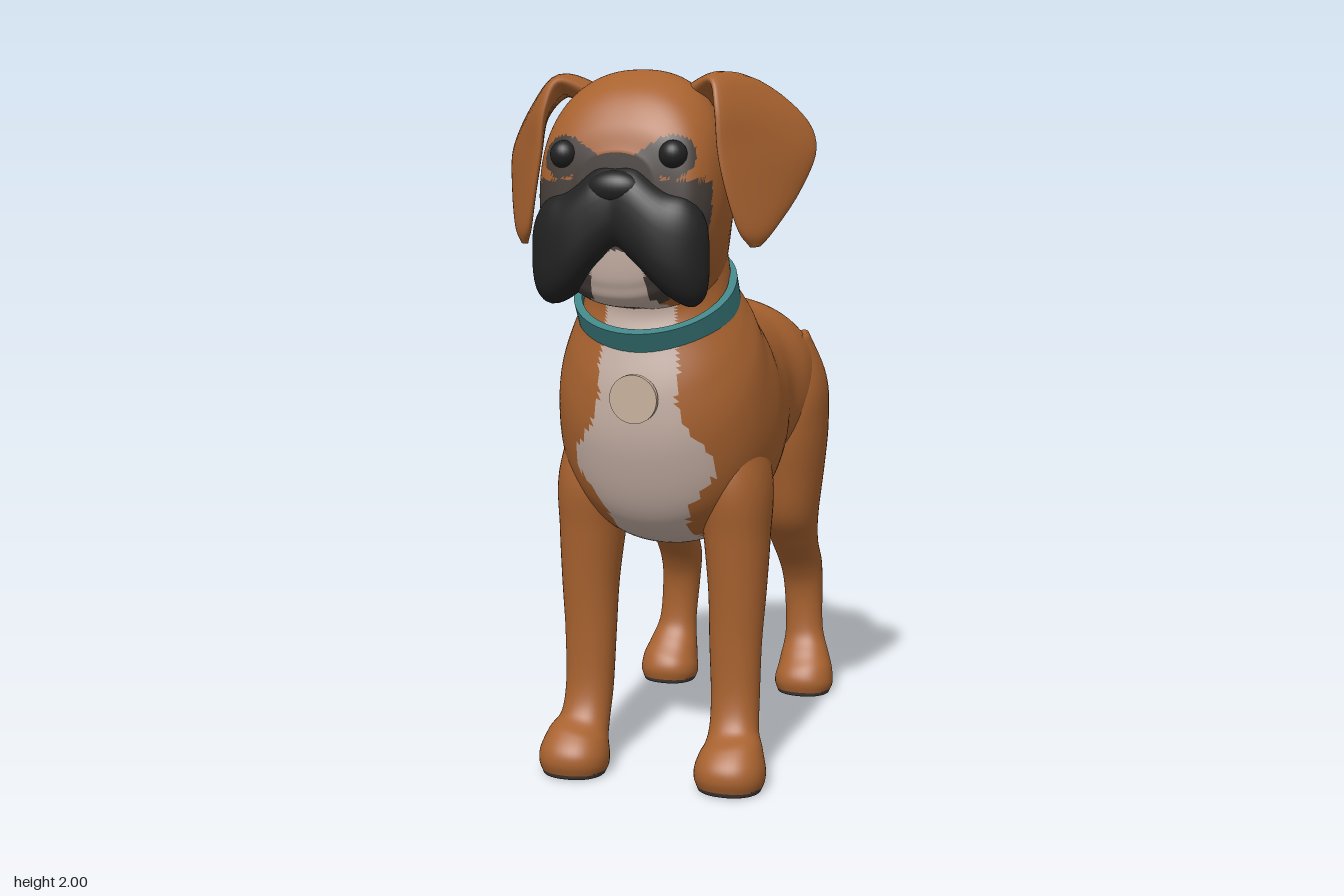
import * as THREE from 'three';
import { toCreasedNormals } from 'three/addons/utils/BufferGeometryUtils.js';

const mat = (name, color) => {
  const m = new THREE.MeshStandardMaterial({ color });
  m.name = name;
  return m;
};

// Smooth skin through cross-sections [ax,ay,az, bx,by,bz, w]:
// a and b are opposite points of the ring, w its half width across them.
function loft(sections, { steps = 6, sides = 36, power = 2, paint = null, buckets = 1 } = {}) {
  const curve = (f) => new THREE.CatmullRomCurve3(sections.map(f), false, 'catmullrom', 0.5);
  const A = curve((s) => new THREE.Vector3(s[0], s[1], s[2]));
  const B = curve((s) => new THREE.Vector3(s[3], s[4], s[5]));
  const W = curve((s) => new THREE.Vector3(s[6], 0, 0));
  const n = (sections.length - 1) * steps;
  const mid = (t) => A.getPoint(t).add(B.getPoint(t)).multiplyScalar(0.5);
  const bend = (v) => Math.sign(v) * Math.pow(Math.abs(v), 2 / power);
  const pts = [];
  for (let i = 0; i <= n; i++) {
    const t = i / n;
    const c = mid(t);
    const half = A.getPoint(t).sub(c);
    const dir = mid(Math.min(1, t + 0.005)).sub(mid(Math.max(0, t - 0.005)));
    const side = half.clone().cross(dir).normalize().multiplyScalar(W.getPoint(t).x);
    for (let j = 0; j < sides; j++) {
      const q = (j / sides) * Math.PI * 2;
      pts.push(c.clone().addScaledVector(half, bend(Math.cos(q))).addScaledVector(side, bend(Math.sin(q))));
    }
  }
  pts.push(mid(0), mid(1));
  const tris = [];
  for (let j = 0; j < sides; j++) {
    const k = (j + 1) % sides;
    for (let i = 0; i < n; i++) {
      const a = i * sides + j, b = i * sides + k;
      tris.push([a, b, b + sides], [a, b + sides, a + sides]);
    }
    tris.push([pts.length - 2, k, j], [pts.length - 1, n * sides + j, n * sides + k]);
  }
  // Turn the faces outward
  let volume = 0;
  for (const [a, b, c] of tris) volume += pts[a].dot(pts[b].clone().cross(pts[c]));
  const lists = Array.from({ length: buckets }, () => []);
  for (const [a, b, c] of tris) {
    const m = pts[a].clone().add(pts[b]).add(pts[c]).divideScalar(3);
    lists[paint ? paint(m) : 0].push(...(volume > 0 ? [a, b, c] : [a, c, b]));
  }
  const g = new THREE.BufferGeometry().setFromPoints(pts);
  g.setIndex(lists.flat());
  let start = 0;
  lists.forEach((l, i) => {
    if (paint) g.addGroup(start, l.length, i);
    start += l.length;
  });
  g.computeVertexNormals();
  return g;
}

// Section in a plane of constant x: [x, zA, yA, zB, yB, w]
const flat = (list, sx = 1) => list.map(([x, za, ya, zb, yb, w]) => [x * sx, ya, za, x * sx, yb, zb, w]);

// Half width of the pale chest blaze at each height
const blaze = [[0.6, 0.1], [0.7, 0.1], [0.8, 0.12], [0.86, 0.16], [0.91, 0.2], [0.96, 0.2], [1.05, 0.135],
  [1.12, 0.11], [1.22, 0.115], [1.3, 0.1], [1.6, 0.1]];
function blazeWidth(y) {
  const i = Math.max(1, blaze.findIndex((b) => b[0] > y));
  const [y0, w0] = blaze[i - 1], [y1, w1] = blaze[i];
  return THREE.MathUtils.lerp(w0, w1, THREE.MathUtils.clamp((y - y0) / (y1 - y0), 0, 1));
}

export function createModel() {
  const dog = new THREE.Group();
  dog.name = 'dog';
  const fur = mat('tan fur', 0xa8622f), pale = mat('pale fur', 0xc6b0a5);
  const black = mat('black mask', 0x222222), grey = mat('dark grey fur', 0x453d39);
  const teal = mat('teal collar', 0x3f8385), metal = mat('tag metal', 0xccb4a0);
  const add = (name, geo, m, parent = dog) => {
    const mesh = new THREE.Mesh(geo, m);
    mesh.name = name;
    parent.add(mesh);
    return mesh;
  };

  // Trunk and neck, rump first, fanning up around the withers
  const trunkPaint = (p) => {
    const x = Math.abs(p.x);
    if (p.z > 0.36 && p.y < 1.58) return x < blazeWidth(p.y) ? 1 : 0;
    return p.z > -0.3 && p.y < 0.9 && x < 0.15 - Math.max(0, p.z - 0.15) * 0.2 ? 1 : 0;
  };
  add('trunk', loft(flat([
    [0, -0.617, 1.05, -0.62, 0.99, 0.04],
    [0, -0.6, 1.13, -0.61, 0.92, 0.14],
    [0, -0.55, 1.22, -0.57, 0.85, 0.22],
    [0, -0.45, 1.3, -0.46, 0.81, 0.285],
    [0, -0.33, 1.335, -0.32, 0.79, 0.29],
    [0, -0.2, 1.34, -0.2, 0.75, 0.265],
    [0, -0.05, 1.345, -0.06, 0.685, 0.285],
    [0, 0.05, 1.37, 0.1, 0.66, 0.305],
    [0, 0.09, 1.4, 0.27, 0.67, 0.315],
    [0, 0.115, 1.43, 0.43, 0.76, 0.305],
    [0, 0.13, 1.45, 0.51, 0.95, 0.285],
    [0, 0.14, 1.47, 0.525, 1.12, 0.25],
    [0, 0.155, 1.51, 0.505, 1.26, 0.212],
    [0, 0.17, 1.57, 0.49, 1.34, 0.2],
    [0, 0.19, 1.66, 0.5, 1.4, 0.19],
  ]), { steps: 8, sides: 96, power: 2.15, paint: trunkPaint, buckets: 2 }), [fur, pale]);

  // Head with pale chin and dark shading around muzzle and eyes
  const headPaint = (p) => {
    const x = Math.abs(p.x);
    if (p.z > 0.42 && p.y < 1.53 && x < (p.y < 1.4 ? 0.09 : 0.075)) return 1;
    if (p.z < 0.58) return 0;
    const socket = Math.hypot(x - 0.15, p.y - 1.77) < 0.055;
    const brow = x < 0.12 && p.y < 1.755 + 0.65 * Math.max(0, x - 0.02);
    return socket || brow || (p.z > 0.6 && p.y < 1.71) ? 2 : 0;
  };
  add('head', loft(flat([
    [0, 0.17, 1.56, 0.46, 1.36, 0.19],
    [0, 0.19, 1.7, 0.54, 1.37, 0.215],
    [0, 0.25, 1.85, 0.6, 1.38, 0.24],
    [0, 0.36, 1.965, 0.64, 1.4, 0.25],
    [0, 0.47, 1.997, 0.655, 1.43, 0.245],
    [0, 0.58, 1.945, 0.665, 1.46, 0.225],
    [0, 0.645, 1.86, 0.672, 1.52, 0.185],
    [0, 0.67, 1.78, 0.675, 1.6, 0.1],
  ]), { steps: 10, sides: 96, power: 2.3, paint: headPaint, buckets: 3 }), [fur, pale, grey]);

  // Muzzle, built across x so the lips hang at both sides
  const lip = [[0.208, 1.58, 1.42, 0.025, 0.6], [0.19, 1.665, 1.385, 0.075, 0.615], [0.13, 1.69, 1.415, 0.098, 0.618],
    [0.06, 1.745, 1.485, 0.105, 0.614]];
  const half = (s) => lip.map(([x, t, b, w, z]) => [x * s, t, z, x * s, b, z, w]);
  add('muzzle', loft([...half(-1), [0, 1.75, 0.61, 0, 1.53, 0.61, 0.103], ...half(1).reverse()],
    { steps: 6, sides: 40, power: 2.7 }), black);
  add('nose', new THREE.SphereGeometry(1, 28, 18), black).scale.set(0.075, 0.045, 0.04);
  dog.getObjectByName('nose').position.set(0, 1.69, 0.682);

  // Tail stump
  add('tail', loft(flat([
    [0, -0.5, 1.25, -0.52, 1.08, 0.09],
    [0, -0.6, 1.2, -0.6, 1.08, 0.075],
    [0, -0.67, 1.175, -0.65, 1.06, 0.07],
    [0, -0.705, 1.145, -0.69, 1.06, 0.05],
    [0, -0.717, 1.11, -0.712, 1.085, 0.018],
  ])), fur);

  // Collar and tag
  const band = new THREE.LatheGeometry([[0.9, -0.035], [1, -0.035], [1, 0.035], [0.9, 0.035], [0.9, -0.035]]
    .map(([r, y]) => new THREE.Vector2(r, y)), 64);
  band.scale(0.23, 1, 0.223);
  const collar = add('collar', toCreasedNormals(band, 0.6), teal);
  collar.position.set(0, 1.387, 0.331);
  collar.rotation.x = 0.55;
  const tag = add('tag', new THREE.CylinderGeometry(0.067, 0.067, 0.016, 40), metal);
  tag.position.set(0, 1.125, 0.537);
  tag.rotation.x = Math.PI / 2 + 0.05;

  // Paired parts
  const sole = { steps: 7, sides: 40, power: 2.2, paint: (p) => (p.y < 0.018 ? 1 : 0), buckets: 2 };
  for (const [label, s] of [['left', 1], ['right', -1]]) {
    add(label + 'FrontLeg', loft(flat([
      [0.19, 0.36, 1.08, 0.14, 1.08, 0.06],
      [0.21, 0.4, 0.87, 0.12, 0.87, 0.1],
      [0.218, 0.385, 0.71, 0.16, 0.69, 0.092],
      [0.222, 0.37, 0.55, 0.195, 0.55, 0.082],
      [0.22, 0.36, 0.4, 0.225, 0.4, 0.075],
      [0.222, 0.362, 0.25, 0.24, 0.23, 0.07],
      [0.226, 0.39, 0.165, 0.27, 0.13, 0.072],
      [0.232, 0.45, 0.13, 0.295, 0.08, 0.088],
      [0.234, 0.49, 0.09, 0.302, 0.04, 0.1],
      [0.234, 0.5, 0.05, 0.308, 0.015, 0.1],
      [0.234, 0.485, 0.006, 0.32, 0.002, 0.09],
    ], s), sole), [fur, grey]);
    add(label + 'Dewclaw', new THREE.SphereGeometry(0.025, 14, 10), fur).position.set(s * 0.2, 0.235, 0.25);

    add(label + 'HindLeg', loft(flat([
      [0.15, -0.3, 1.18, -0.52, 1.2, 0.11],
      [0.185, -0.25, 1.03, -0.59, 1.06, 0.13],
      [0.2, -0.25, 0.91, -0.6, 0.93, 0.12],
      [0.2, -0.275, 0.78, -0.575, 0.79, 0.11],
      [0.2, -0.315, 0.63, -0.56, 0.62, 0.09],
      [0.205, -0.39, 0.53, -0.59, 0.51, 0.073],
      [0.21, -0.48, 0.42, -0.655, 0.425, 0.066],
      [0.215, -0.517, 0.33, -0.648, 0.33, 0.062],
      [0.222, -0.515, 0.2, -0.62, 0.2, 0.062],
      [0.23, -0.475, 0.135, -0.612, 0.1, 0.08],
      [0.235, -0.435, 0.09, -0.607, 0.05, 0.092],
      [0.235, -0.42, 0.05, -0.6, 0.015, 0.095],
      [0.235, -0.43, 0.006, -0.59, 0.002, 0.085],
    ], s), sole), [fur, grey]);

    // Folded ear: front edge, back edge, thickness
    add(label + 'Ear', loft([
      [0.14, 1.94, 0.49, 0.14, 1.91, 0.31, 0.035],
      [0.21, 1.965, 0.535, 0.27, 1.955, 0.28, 0.03],
      [0.235, 1.89, 0.572, 0.39, 1.88, 0.255, 0.028],
      [0.245, 1.78, 0.578, 0.437, 1.79, 0.285, 0.024],
      [0.265, 1.68, 0.57, 0.412, 1.68, 0.36, 0.02],
      [0.292, 1.58, 0.545, 0.365, 1.58, 0.45, 0.017],
      [0.315, 1.535, 0.51, 0.335, 1.538, 0.485, 0.008],
    ].map((e) => [e[0] * s, e[1], e[2], e[3] * s, ...e.slice(4)])), fur);

    add(label + 'Eye', new THREE.SphereGeometry(0.037, 24, 16), black).position.set(s * 0.148, 1.775, 0.648);
  }
  return dog;
}
